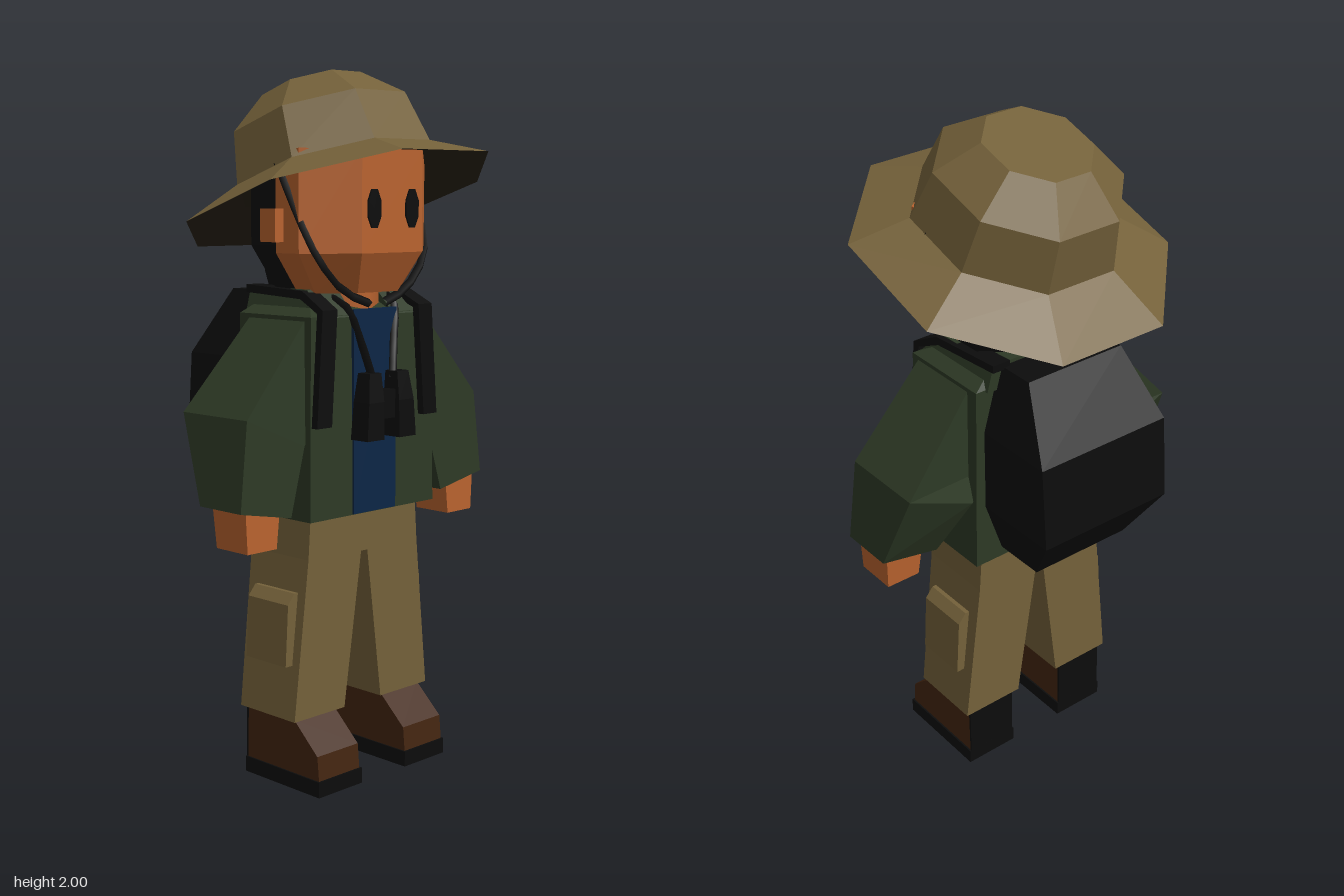
import * as THREE from 'three';

const mat = (name, color) => {
  const m = new THREE.MeshStandardMaterial({ color });
  m.name = name;
  return m;
};

// Closed faceted solid through rings of [x, y, z] points; faces are turned outward
function loft(rings) {
  const n = rings[0].length, last = rings[rings.length - 1], tris = [];
  for (let i = 1; i < n - 1; i++) tris.push([rings[0][0], rings[0][i + 1], rings[0][i]]);
  for (let r = 0; r < rings.length - 1; r++) {
    for (let i = 0; i < n; i++) {
      const j = (i + 1) % n, a = rings[r], b = rings[r + 1];
      tris.push([a[i], a[j], b[j]], [a[i], b[j], b[i]]);
    }
  }
  for (let i = 1; i < n - 1; i++) tris.push([last[0], last[i], last[i + 1]]);
  let volume = 0;
  const v = tris.map(t => t.map(p => new THREE.Vector3(...p)));
  v.forEach(([a, b, c]) => { volume += a.dot(b.clone().cross(c)); });
  const pos = v.flatMap(([a, b, c]) => (volume < 0 ? [a, c, b] : [a, b, c]));
  const g = new THREE.BufferGeometry().setFromPoints(pos);
  g.computeVertexNormals();
  return g;
}

// Rectangular ring at height y
const rect = (y, x0, x1, z0, z1) => [[x0, y, z0], [x0, y, z1], [x1, y, z1], [x1, y, z0]];

export function createModel() {
  const model = new THREE.Group();
  model.name = 'explorer';
  const khaki = mat('khaki', 0x74613a), brimShade = mat('dark khaki', 0x2a2316);
  const skin = mat('skin', 0xb9632f), green = mat('jacket green', 0x2d3925);
  const blue = mat('shirt blue', 0x0b2545), brown = mat('boot brown', 0x432510);
  const black = mat('black', 0x0c0c0c);

  const add = (name, geo, material, parent = model) => {
    const m = new THREE.Mesh(geo, material);
    m.name = name;
    parent.add(m);
    return m;
  };
  const box = (name, x0, x1, y0, y1, z0, z1, material) => {
    const m = add(name, new THREE.BoxGeometry(x1 - x0, y1 - y0, z1 - z0), material);
    m.position.set((x0 + x1) / 2, (y0 + y1) / 2, (z0 + z1) / 2);
    return m;
  };
  const tube = (name, pts, r, material) => {
    const curve = new THREE.CatmullRomCurve3(pts.map(p => new THREE.Vector3(...p)));
    return add(name, new THREE.TubeGeometry(curve, 8, r, 4), material);
  };

  // Hat: tilted octagons from under the brim, out to its rim and up the crown
  const octagon = (a, y, cz) => Array.from({ length: 8 }, (_, i) => {
    const t = (i + 0.5) * Math.PI / 4, r = a / Math.cos(Math.PI / 8);
    const z = cz + r * Math.cos(t);
    return [r * Math.sin(t), y + 0.325 * (z - cz), z];
  });
  const hat = loft([
    octagon(0.255, 1.705, -0.01), octagon(0.41, 1.64, 0.004), octagon(0.265, 1.72, -0.01),
    octagon(0.237, 1.862, -0.065), octagon(0.138, 1.953, -0.097),
  ]);
  hat.addGroup(0, 66, 0);
  hat.addGroup(66, hat.attributes.position.count - 66, 1);
  add('hat', hat, [brimShade, khaki]);

  // Head: skin in front, hair behind
  const half = (y, w, cx, z0, zc, z1) =>
    [[-w, y, z0], [-w, y, zc], [-cx, y, z1], [cx, y, z1], [w, y, zc], [w, y, z0]];
  add('face', loft([
    half(1.39, 0.17, 0.08, 0.02, 0.09, 0.165),
    half(1.5, 0.25, 0.12, 0.02, 0.11, 0.22),
    half(1.78, 0.25, 0.12, 0.02, 0.11, 0.22),
  ]), skin);
  add('hair', loft([
    half(1.39, 0.17, 0.08, 0.02, -0.06, -0.13),
    half(1.52, 0.25, 0.12, 0.02, -0.08, -0.19),
    half(1.78, 0.25, 0.12, 0.02, -0.08, -0.19),
  ]), black);
  add('ponytail', loft([
    rect(1.37, -0.03, 0.03, -0.24, -0.215),
    rect(1.44, -0.05, 0.05, -0.245, -0.19),
    rect(1.55, -0.03, 0.03, -0.19, -0.16),
  ]), black);
  const neck = add('neck', new THREE.CylinderGeometry(0.1, 0.1, 0.12, 8), skin);
  neck.position.set(0, 1.37, 0.03);

  // Jacket body, shirt front and collar back
  add('jacket', loft([
    rect(0.77, -0.25, 0.25, -0.145, 0.152),
    rect(1.33, -0.24, 0.24, -0.14, 0.146),
    rect(1.36, -0.19, 0.19, -0.12, 0.09),
  ]), green);
  box('shirt', -0.085, 0.085, 0.772, 1.345, 0.147, 0.156, blue);
  box('collarBack', -0.19, 0.19, 1.33, 1.4, -0.15, -0.1, green);

  // Hips
  add('hips', loft([
    rect(0.65, -0.222, 0.222, -0.12, 0.115),
    rect(0.78, -0.213, 0.213, -0.12, 0.115),
  ]), khaki);

  // Backpack
  add('backpack', loft([
    rect(0.8, -0.16, 0.16, -0.3, -0.14),
    rect(0.96, -0.215, 0.215, -0.405, -0.14),
    rect(1.2, -0.215, 0.215, -0.385, -0.14),
    rect(1.39, -0.16, 0.16, -0.26, -0.14),
  ]), black);

  // Binocular bridge
  box('binocularBridge', -0.04, 0.04, 1.04, 1.12, 0.17, 0.205, black);

  for (const s of [1, -1]) {
    const side = s > 0 ? 'left' : 'right';
    const sloft = (name, rings, m) =>
      add(side + name, loft(rings.map(r => r.map(([x, y, z]) => [s * x, y, z]))), m);

    // Ear and eye
    const ear = box(side + 'Ear', 0.24, 0.28, 1.53, 1.62, -0.01, 0.05, skin);
    ear.position.x *= s;
    const eye = add(side + 'Eye', new THREE.CylinderGeometry(0.027, 0.027, 0.008, 8), black);
    eye.geometry.rotateX(Math.PI / 2).rotateZ(Math.PI / 8);
    eye.scale.y = 2.1;
    eye.position.set(s * 0.075, 1.62, 0.221);

    // Hat cord and binocular cord
    tube(side + 'HatCord', [[s * 0.253, 1.74, 0.03], [s * 0.248, 1.64, 0.08], [s * 0.218, 1.5, 0.14],
      [s * 0.13, 1.4, 0.155], [s * 0.03, 1.36, 0.16]], 0.013, black);
    tube(side + 'BinocularCord', [[s * 0.13, 1.38, 0.02], [s * 0.1, 1.36, 0.13],
      [s * 0.065, 1.25, 0.165], [s * 0.04, 1.15, 0.185]], 0.012, black);

    // Binocular barrel
    sloft('Barrel', [
      rect(0.985, 0.03, 0.098, 0.157, 0.222),
      rect(1.09, 0.03, 0.09, 0.16, 0.22),
      rect(1.17, 0.032, 0.078, 0.165, 0.21),
    ], black);

    // Collar side
    sloft('Collar', [
      rect(1.325, 0.08, 0.21, -0.15, 0.15),
      rect(1.4, 0.075, 0.19, -0.15, 0.08),
    ], green);

    // Pack strap over the shoulder: [x, y, z, normalY, normalZ]
    sloft('PackStrap', [
      [0.214, 1.03, 0.15, 0, 1], [0.191, 1.34, 0.148, 0.4, 1],
      [0.18, 1.375, 0.07, 1, 0.4], [0.17, 1.385, -0.16, 1, 0],
    ].map(([x, y, z, ny, nz]) => [
      [x - 0.028, y, z], [x + 0.028, y, z],
      [x + 0.028, y + ny * 0.022, z + nz * 0.022], [x - 0.028, y + ny * 0.022, z + nz * 0.022],
    ]), black);

    // Sleeve bent at the elbow, then hand: [outerX, outerY, innerX, innerY, back, front]
    sloft('Sleeve', [
      [0.23, 1.33, 0.19, 1.05, -0.1, 0.12],
      [0.458, 1.07, 0.25, 0.98, -0.13, 0.13],
      [0.487, 0.825, 0.305, 0.79, -0.03, 0.135],
    ].map(([ox, oy, ix, iy, b, f]) => [[ox, oy, b], [ox, oy, f], [ix, iy, f], [ix, iy, b]]), green);
    sloft('Hand', [rect(0.71, 0.35, 0.455, 0, 0.125), rect(0.845, 0.335, 0.462, -0.01, 0.125)], skin);

    // Trouser leg and cargo pocket
    sloft('Leg', [rect(0.2, 0.075, 0.272, -0.115, 0.11), rect(0.67, 0.01, 0.22, -0.12, 0.115)], khaki);
    sloft('Pocket', [
      rect(0.355, 0.22, 0.28, -0.08, 0.083),
      rect(0.53, 0.2, 0.27, -0.08, 0.083),
      rect(0.56, 0.2, 0.245, -0.08, 0.083),
    ], khaki);

    // Boot with sole and heel patch
    const boot = [[-0.105, 0.04], [0.19, 0.04], [0.183, 0.115], [0.09, 0.2], [-0.1, 0.21]];
    sloft('Boot', [0.095, 0.255].map(x => boot.map(([z, y]) => [x, y, z])), brown);
    sloft('Sole', [rect(0, 0.09, 0.26, -0.11, 0.195), rect(0.045, 0.09, 0.26, -0.11, 0.195)], black);
    sloft('HeelPatch', [rect(0.04, 0.095, 0.255, -0.11, -0.102), rect(0.205, 0.095, 0.255, -0.108, -0.099)], black);
  }
  return model;
}
